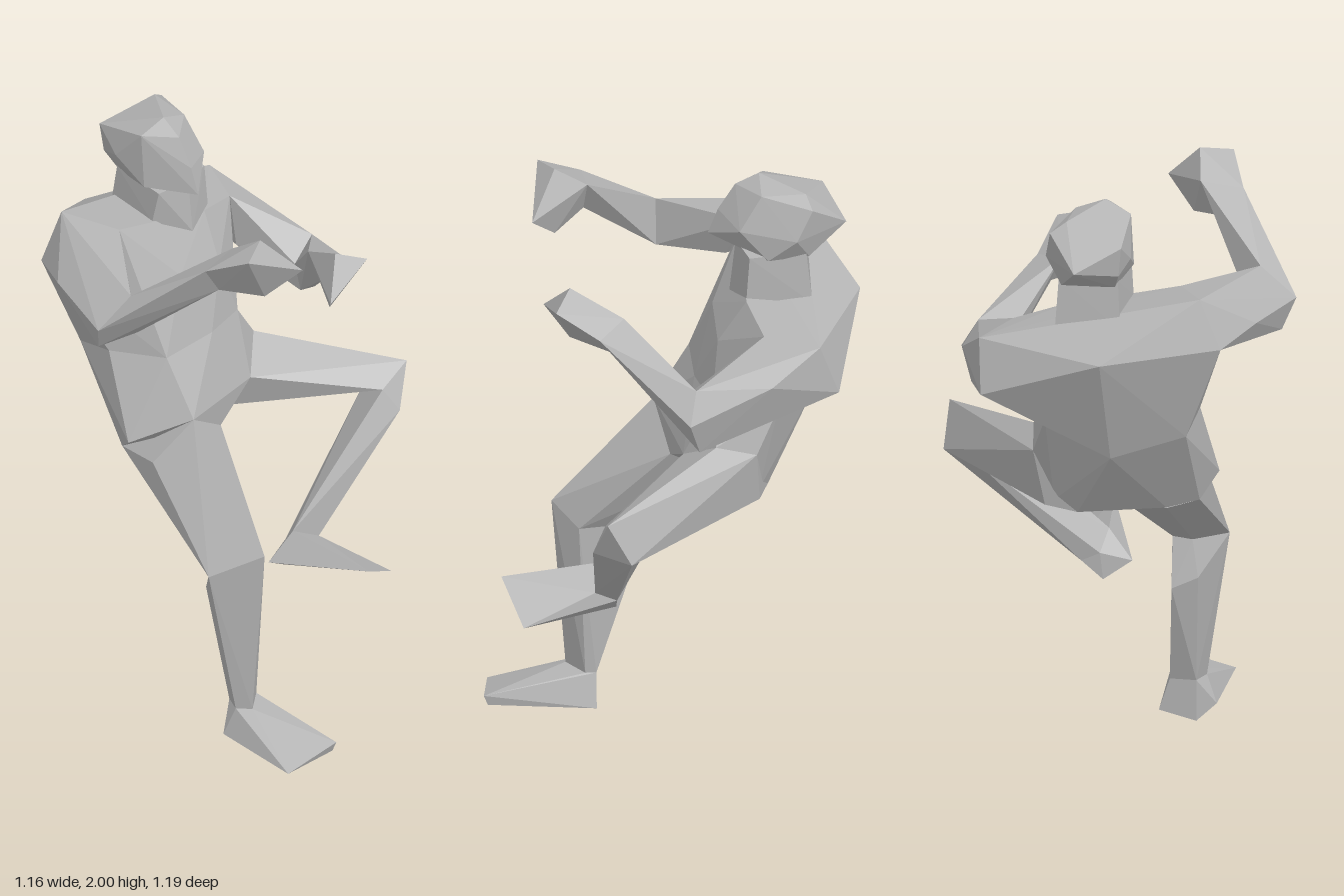
import * as THREE from 'three';
import { ConvexGeometry } from 'three/addons/geometries/ConvexGeometry.js';

// Joint rings: corner points shared by the neighbouring body parts
const rings = {
  neckTop: [[-.09, 1.77, -.22], [.02, 1.78, -.2], [.13, 1.77, -.24], [-.08, 1.78, -.42], [.11, 1.78, -.42]],
  neckBase: [[-.1, 1.66, -.24], [.02, 1.6, -.18], [.135, 1.63, -.23], [-.09, 1.62, -.44], [.12, 1.6, -.44]],
  waist: [[-.31, 1.28, -.22], [-.21, 1.28, -.06], [0, 1.28, -.07], [.16, 1.27, -.12], [.17, 1.28, -.18],
    [.17, 1.25, -.33], [-.06, 1.18, -.445], [-.29, 1.24, -.37]],
  pelvis: [[-.35, 1.01, -.09], [-.2, 1.095, .052], [-.035, .98, .005], [.13, 1.07, -.03], [.24, 1.15, -.13],
    [.22, 1.11, -.26], [.15, .95, -.27], [.07, .925, -.3], [-.2, .922, -.21], [-.3, .94, -.17]],

  rightShoulder: [[-.34, 1.73, -.405], [-.41, 1.57, -.424], [-.497, 1.6, -.26], [-.25, 1.7, -.235],
    [-.33, 1.54, -.18]],
  rightElbow: [[-.58, 1.58, .01], [-.54, 1.485, -.03], [-.46, 1.67, .035], [-.43, 1.52, .035]],
  rightWrist: [[-.365, 1.83, .275], [-.23, 1.85, .26], [-.3, 1.73, .27]],

  leftShoulder: [[.36, 1.57, -.455], [.345, 1.4, -.515], [.44, 1.47, -.3], [.28, 1.57, -.28], [.28, 1.4, -.25]],
  leftElbow: [[.487, 1.36, -.04], [.335, 1.4, -.04], [.45, 1.25, -.07], [.43, 1.46, -.06], [.36, 1.29, -.04]],
  leftWrist: [[.2, 1.6, .16], [.29, 1.57, .24], [.24, 1.5, .2]],

  rightHip: [[-.31, .95, -.02], [-.2, 1.095, .052], [-.035, .98, .005], [-.06, .93, -.2], [-.3, .94, -.17],
    [-.2, .92, -.21]],
  rightKnee: [[-.325, .65, .25], [-.2, .73, .375], [-.135, .66, .29], [-.2, .64, .36], [-.22, .655, .165],
    [-.155, .66, .17]],
  rightAnkle: [[-.245, .14, .29], [-.21, .14, .33], [-.135, .14, .27], [-.135, .14, .235], [-.22, .14, .235]],

  leftHip: [[.24, 1.15, -.13], [.13, 1.07, -.03], [-.03, .93, -.22], [.07, .925, -.3], [.18, .93, -.27],
    [.22, 1.11, -.26]],
  leftKnee: [[.57, 1.055, .226], [.577, .915, .15], [.46, .995, .23], [.49, .925, .1]],
  leftAnkle: [[.06, .645, .235], [.16, .59, .25], [.08, .58, .18], [.14, .55, .18]],
};

// Each part spans the rings it joins, plus its own extra corners
const parts = [
  ['head', [], [[-.1, 1.96, -.29], [-.016, 2, -.275], [.085, 1.975, -.42], [.08, 1.965, -.28], [-.02, 1.96, -.2],
    [-.1, 1.92, -.48], [.135, 1.94, -.44], [.04, 1.85, -.55], [-.09, 1.82, -.47], [.157, 1.84, -.39],
    [-.116, 1.85, -.39], [.1, 1.85, -.21], [.13, 1.76, -.3], [-.02, 1.87, -.145], [-.02, 1.785, -.113],
    [-.106, 1.78, -.27], [.1, 1.76, -.43], [-.07, 1.76, -.42]]],
  ['neck', ['neckTop', 'neckBase'], []],
  ['chest', ['waist'], [[-.34, 1.73, -.405], [-.25, 1.7, -.235], [-.41, 1.57, -.424], [-.05, 1.56, -.597],
    [.36, 1.57, -.455], [.345, 1.4, -.515], [.28, 1.57, -.28], [.12, 1.61, -.23], [-.25, 1.47, -.17],
    [-.08, 1.5, -.13], [.1, 1.46, -.14]]],
  ['abdomen', ['waist', 'pelvis'], []],

  ['rightUpperArm', ['rightShoulder', 'rightElbow'], []],
  ['rightForearm', ['rightElbow', 'rightWrist'], []],
  ['rightHand', ['rightWrist'], [[-.21, 1.92, .365], [-.31, 1.9, .415], [-.095, 1.79, .44], [-.19, 1.7, .365]]],
  ['leftUpperArm', ['leftShoulder', 'leftElbow'], []],
  ['leftForearm', ['leftElbow', 'leftWrist'], []],
  ['leftHand', ['leftWrist'], [[.155, 1.69, .33], [.057, 1.58, .41], [.25, 1.65, .377], [.13, 1.5, .33]]],

  ['rightThigh', ['rightHip', 'rightKnee'], []],
  ['rightShin', ['rightKnee', 'rightAnkle'], [[-.16, .5, .12], [-.24, .53, .15]]],
  ['rightFoot', ['rightAnkle'], [[-.29, .045, .575], [-.095, .085, .593], [-.1, .05, .58], [-.22, 0, .235],
    [-.1, .03, .235], [-.28, .05, .27]]],
  ['leftThigh', ['leftHip', 'leftKnee'], []],
  ['leftShin', ['leftKnee', 'leftAnkle'], [[.497, .92, .27]]],
  ['leftFoot', ['leftAnkle'], [[.095, .62, .545], [.257, .52, .48], [-.02, .55, .207], [.07, .49, .18]]],
];

export function createModel() {
  const group = new THREE.Group();
  group.name = 'kickingFigure';
  const grey = new THREE.MeshStandardMaterial({ color: 0xb4b4b4 });
  grey.name = 'plain grey';

  // Faceted body parts
  for (const [name, joints, extra] of parts) {
    const corners = [...joints.flatMap((j) => rings[j]), ...extra].map((p) => new THREE.Vector3(...p));
    const mesh = new THREE.Mesh(new ConvexGeometry(corners), grey);
    mesh.name = name;
    group.add(mesh);
  }
  return group;
}
